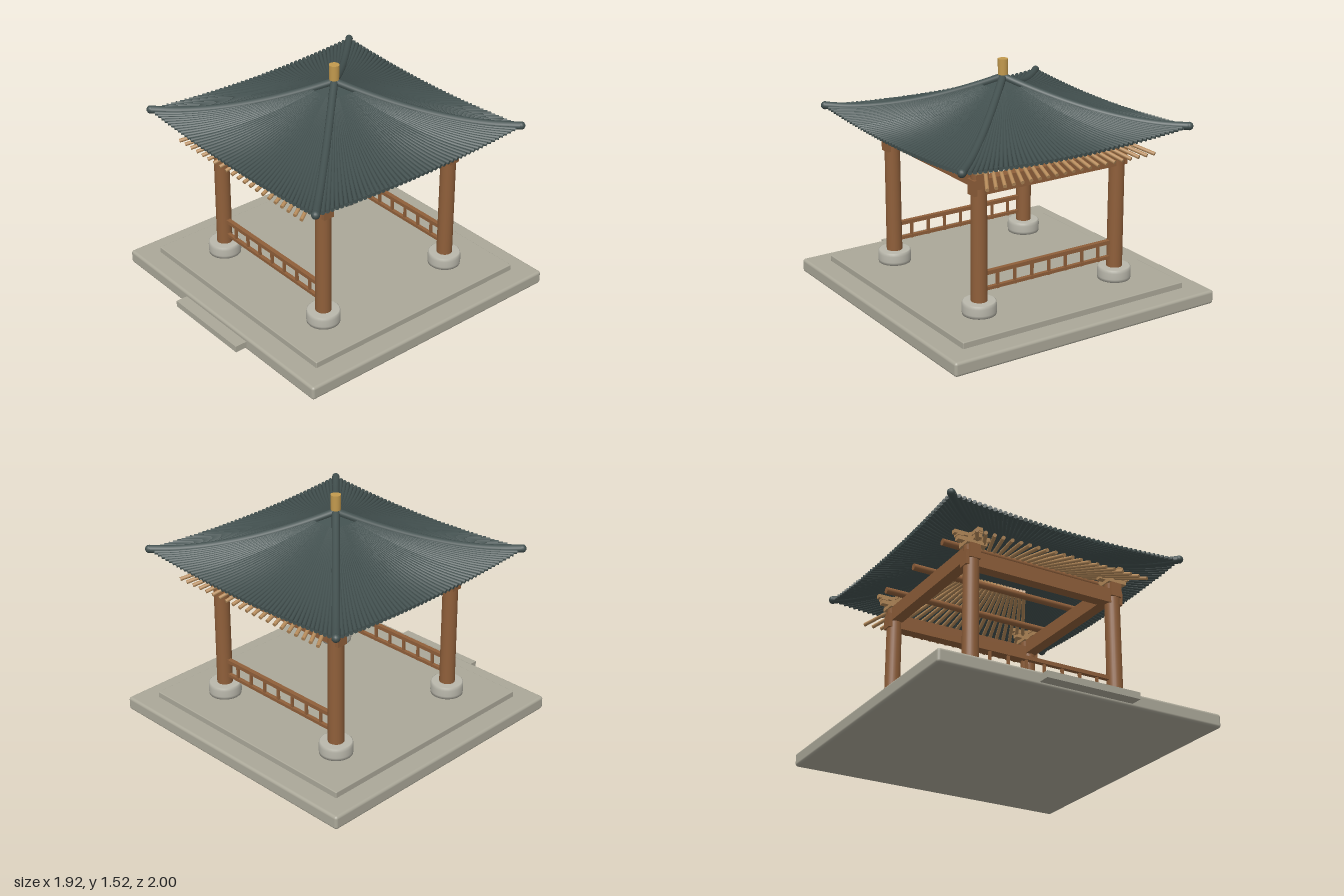
import * as THREE from 'three';
import { mergeGeometries } from 'three/addons/utils/BufferGeometryUtils.js';
import { RoundedBoxGeometry } from 'three/addons/geometries/RoundedBoxGeometry.js';

const material = (color, side = THREE.FrontSide) => new THREE.MeshStandardMaterial({ color, side });
const stone = material(0xaba899);
const paleStone = material(0xb9b7ab);
const wood = material(0x8f5f3a);
const paleWood = material(0xb58a5a);
const tile = material(0x435150, THREE.DoubleSide);
const gold = material(0xc39a4e);

const V = (x, y, z) => new THREE.Vector3(x, y, z);
const COL = 0.51;   // column offset from the centre
const EAVE = 0.82;  // half width of the roof

function add(parent, name, geometry, mat, x = 0, y = 0, z = 0) {
  const mesh = new THREE.Mesh(geometry, mat);
  mesh.name = name;
  mesh.position.set(x, y, z);
  parent.add(mesh);
  return mesh;
}

const box = (parent, name, mat, w, h, d, x, y, z) =>
  add(parent, name, new THREE.BoxGeometry(w, h, d), mat, x, y, z);

// Round bar between two points
function bar(parent, name, mat, a, b, radius) {
  const mesh = add(parent, name, new THREE.CylinderGeometry(radius, radius, a.distanceTo(b), 12), mat);
  mesh.position.copy(a).lerp(b, 0.5);
  mesh.quaternion.setFromUnitVectors(V(0, 1, 0), b.clone().sub(a).normalize());
  return mesh;
}

// Point on the front roof slope: t runs from apex to eave, u from corner to corner
function slope(t, u, lift = 0) {
  const y = 1.405 - 0.48 * t + 0.188 * t * t + 0.04 * u * u * t ** 4;
  return V(u * EAVE * t, y + lift, EAVE * t);
}

function slopeCurve(u, start, lift) {
  const points = [];
  for (let i = 0; i <= 8; i++) points.push(slope(start + (1 - start) * i / 8, u, lift));
  return new THREE.CatmullRomCurve3(points);
}

// One tile row with a closed end at the eave
function tileRow(u) {
  const curve = slopeCurve(u, 0.13, 0.003);
  const cap = new THREE.CircleGeometry(0.0135, 8);
  cap.applyQuaternion(new THREE.Quaternion().setFromUnitVectors(V(0, 0, 1), curve.getTangent(1)));
  const end = curve.getPoint(1);
  cap.translate(end.x, end.y, end.z);
  return [new THREE.TubeGeometry(curve, 14, 0.0135, 8), cap];
}

function createRoof() {
  const roof = new THREE.Group();
  roof.name = 'roof';

  const surface = new THREE.PlaneGeometry(1, 1, 24, 18);
  const pos = surface.attributes.position;
  for (let i = 0; i < pos.count; i++) {
    const p = slope(0.5 - pos.getY(i), 2 * pos.getX(i));
    pos.setXYZ(i, p.x, p.y, p.z);
  }
  surface.computeVertexNormals();

  const rows = [];
  const count = 47;
  for (let i = 0; i < count; i++) rows.push(...tileRow(-0.98 + 1.96 * i / (count - 1)));
  const tiles = mergeGeometries(rows);
  const hip = new THREE.TubeGeometry(slopeCurve(1, 0, 0.006), 24, 0.025, 12);
  const tip = slope(1, 1, 0.006);

  for (let k = 0; k < 4; k++) {
    const side = new THREE.Group();
    side.name = 'roofSide';
    side.rotation.y = k * Math.PI / 2;
    add(side, 'roofSurface', surface, tile);
    add(side, 'tileRows', tiles, tile);
    add(side, 'hipRidge', hip, tile);
    add(side, 'ridgeEnd', new THREE.SphereGeometry(0.026, 14, 10), tile, tip.x, tip.y, tip.z);
    roof.add(side);
  }
  add(roof, 'finial', new THREE.CylinderGeometry(0.033, 0.031, 0.1, 24), gold, 0, 1.475, 0);
  return roof;
}

// Crossed arms stacked on a column head
function createBracket(x, z) {
  const g = new THREE.Group();
  g.name = 'bracket';
  g.position.set(x, 0, z);
  box(g, 'capBlock', paleWood, 0.11, 0.025, 0.11, 0, 1.04, 0);
  box(g, 'headBlock', paleWood, 0.06, 0.09, 0.06, 0, 1.065, 0);
  box(g, 'lowerArmX', paleWood, 0.2, 0.028, 0.04, 0, 1.064, 0);
  box(g, 'lowerArmZ', paleWood, 0.04, 0.028, 0.2, 0, 1.064, 0);
  for (const s of [-1, 1]) {
    box(g, 'armBlock', paleWood, 0.04, 0.022, 0.05, s * 0.085, 1.087, 0);
    box(g, 'armBlock', paleWood, 0.05, 0.022, 0.04, 0, 1.087, s * 0.085);
  }
  box(g, 'upperArmX', paleWood, 0.25, 0.024, 0.035, 0, 1.1, 0);
  box(g, 'upperArmZ', paleWood, 0.035, 0.024, 0.22, 0, 1.1, 0);
  return g;
}

function createRailing(z) {
  const g = new THREE.Group();
  g.name = 'railing';
  g.position.z = z;
  box(g, 'topRail', wood, 0.94, 0.025, 0.03, 0, 0.38, 0);
  box(g, 'bottomRail', wood, 0.94, 0.02, 0.025, 0, 0.277, 0);
  for (let i = -3; i <= 3; i++) box(g, 'baluster', wood, 0.016, 0.115, 0.016, i * 0.126, 0.32, 0);
  return g;
}

export function createModel() {
  const model = new THREE.Group();
  model.name = 'pavilion';
  const body = new THREE.Group();
  body.name = 'pavilionBody';
  body.position.z = -0.04;
  model.add(body);

  // Stone platform and entrance step
  add(body, 'platform', new RoundedBoxGeometry(1.92, 0.09, 1.92, 3, 0.018), stone, 0, 0.045, 0);
  add(body, 'floorSlab', new RoundedBoxGeometry(1.64, 0.06, 1.64, 2, 0.006), stone, 0, 0.1, 0);
  box(body, 'step', stone, 0.63, 0.042, 0.12, 0, 0.042, 0.98);

  // Columns on round footings
  const footing = new THREE.LatheGeometry([
    [0, 0.13], [0.105, 0.13], [0.107, 0.15], [0.107, 0.19], [0.104, 0.208], [0.098, 0.212], [0, 0.212],
  ].map(([r, y]) => new THREE.Vector2(r, y)), 32);
  const column = new THREE.CylinderGeometry(0.049, 0.051, 0.83, 24);
  for (const x of [-COL, COL]) {
    for (const z of [-COL, COL]) {
      add(body, 'columnFooting', footing, paleStone, x, 0, z);
      add(body, 'column', column, wood, x, 0.615, z);
      body.add(createBracket(x, z));
    }
  }

  // Tie beams, the side pair set a little higher
  for (const s of [-1, 1]) {
    box(body, 'crossBeam', wood, 1.13, 0.097, 0.075, 0, 0.937, s * COL);
    box(body, 'sideBeam', wood, 0.075, 0.097, 1.13, s * COL, 0.982, 0);
    body.add(createRailing(s * COL));
  }

  // Purlins
  for (const z of [-0.38, 0, 0.38]) {
    bar(body, 'purlin', wood, V(-0.64, 1.088, z), V(0.64, 1.088, z), 0.022);
  }

  // Fanned rafters at front and back
  for (const s of [-1, 1]) {
    for (let i = -10; i <= 10; i++) {
      const x = i * 0.061;
      bar(body, 'rafter', paleWood, V(x, 1.0, s * 0.755), V(x * 0.4, 1.19, s * 0.12), 0.012);
    }
  }

  body.add(createRoof());
  return model;
}
